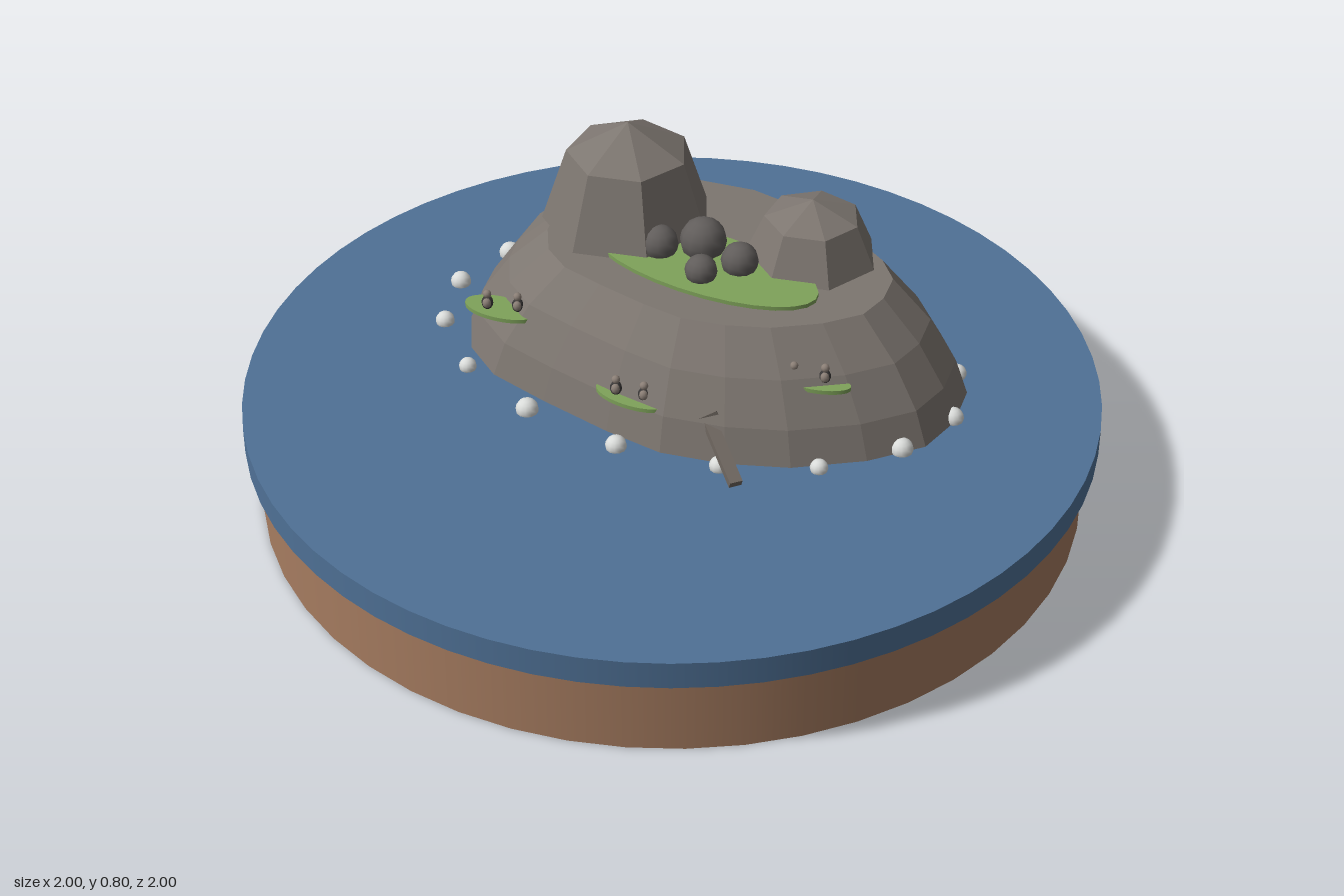
import * as THREE from 'three';

const mat = (name, color, flat = false) => {
  const m = new THREE.MeshStandardMaterial({ color, flatShading: flat });
  m.name = name;
  return m;
};

export function createModel() {
  const group = new THREE.Group();
  group.name = 'islandDiorama';
  const wood = mat('wood brown', 0xa67c60);
  const water = mat('water blue', 0x4f7196);
  const rock = mat('rock grey', 0x7d7670, true);
  const grass = mat('grass green', 0x7fa35a);
  const boulder = mat('boulder grey', 0x615d5b);
  const foam = mat('foam white', 0xdadcda);
  const dark = mat('bird dark', 0x3a3838);
  const pale = mat('bird taupe', 0x8b7f76);
  const plank = mat('plank grey', 0x6f6760);

  const add = (name, geo, material, x = 0, y = 0, z = 0, parent = group) => {
    const m = new THREE.Mesh(geo, material);
    m.name = name;
    m.position.set(x, y, z);
    parent.add(m);
    return m;
  };

  // Round stand and water disc
  add('woodenBase', new THREE.CylinderGeometry(0.97, 0.97, 0.2, 48), wood, 0, 0.1, 0);
  add('waterDisc', new THREE.CylinderGeometry(1, 1, 0.067, 64), water, 0, 0.2315, 0);

  // Island body: shoreline outline shrunk towards the plateau
  const shore = [
    [-0.51, -0.21], [-0.495, -0.31], [-0.455, -0.45], [-0.38, -0.545], [-0.26, -0.593], [-0.02, -0.583],
    [0.18, -0.535], [0.38, -0.417], [0.555, -0.257], [0.65, -0.13], [0.69, -0.02], [0.663, 0.1],
    [0.6, 0.2], [0.47, 0.267], [0.3, 0.31], [0.15, 0.31], [0, 0.283], [-0.13, 0.214],
    [-0.29, 0.112], [-0.42, 0.02], [-0.49, -0.085],
  ];
  const rings = [[0.26, 1], [0.35, 0.945], [0.45, 0.835], [0.542, 0.68]];
  const cx = 0.105, cz = -0.155;
  const point = (r, i) => {
    const [x, z] = shore[i % shore.length], [y, s] = rings[r];
    return [cx + (x - cx) * s, y, cz + (z - cz) * s];
  };
  const pos = [];
  const top = rings.length - 1;
  for (let i = 0; i < shore.length; i++) {
    for (let r = 0; r < top; r++) {
      const a = point(r, i), b = point(r, i + 1), c = point(r + 1, i), d = point(r + 1, i + 1);
      pos.push(...b, ...a, ...c, ...b, ...c, ...d);
    }
    pos.push(cx, rings[top][0], cz, ...point(top, i + 1), ...point(top, i));
  }
  const island = new THREE.BufferGeometry();
  island.setAttribute('position', new THREE.Float32BufferAttribute(pos, 3));
  island.computeVertexNormals();
  add('islandBody', island, rock);

  // Two faceted peaks
  const peak = (name, x, z, r, h) => {
    const m = add(name, new THREE.SphereGeometry(1, 7, 2, 0, Math.PI * 2, 0, Math.PI / 2), rock, x, 0.54, z);
    m.scale.set(r, h, r);
    m.rotation.y = -1.7;
  };
  peak('tallPeak', -0.13, -0.268, 0.205, 0.26);
  peak('lowPeak', 0.31, -0.15, 0.158, 0.15);

  // Grass patches: the plateau meadow and three side ledges
  const patch = (name, x, y, z, a, b, angle) => {
    const m = add(name, new THREE.CylinderGeometry(1, 1, 0.01, 28), grass, x, y, z);
    m.scale.set(a, 1, b);
    m.rotation.y = -angle;
  };
  patch('plateauMeadow', 0.07, 0.548, -0.07, 0.29, 0.12, 0.44);

  // Boulders on the meadow
  for (const [x, z, r] of [[0.06, -0.13, 0.055], [0.15, -0.06, 0.044], [0.065, -0.015, 0.038], [-0.04, -0.115, 0.044]]) {
    add('boulder', new THREE.SphereGeometry(r, 12, 8), boulder, x, 0.55 + r * 0.5, z);
  }

  // Ledges, each with a pair of small birds
  const bird = (x, y, z) => {
    const g = new THREE.Group();
    g.name = 'bird';
    g.position.set(x, y, z);
    group.add(g);
    add('birdBody', new THREE.SphereGeometry(0.014, 10, 8), dark, 0, 0.016, 0, g).scale.y = 1.25;
    add('birdBelly', new THREE.SphereGeometry(0.011, 10, 8), pale, 0, 0.018, 0.006, g).scale.y = 1.2;
    add('birdHead', new THREE.SphereGeometry(0.01, 10, 8), pale, 0, 0.039, 0, g);
  };
  const ledges = [
    [-0.405, 0.415, -0.035, 0.09, 0.043, 0.3, [[-0.435, -0.03], [-0.363, -0.025]]],
    [-0.073, 0.355, 0.197, 0.09, 0.04, 0.42, [[-0.108, 0.195], [-0.042, 0.213]]],
    [0.355, 0.428, 0.21, 0.07, 0.028, 0.1, [[0.295, 0.203], [0.365, 0.205]]],
  ];
  for (const [x, y, z, a, b, angle, birds] of ledges) {
    patch('grassLedge', x, y, z, a, b, angle);
    for (const [bx, bz] of birds) bird(bx, y + 0.005, bz);
  }

  // Pale stones along the waterline
  const stones = [
    [-0.28, -0.58], [-0.05, -0.593], [0.19, -0.535], [0.41, -0.422], [0.575, -0.262], [0.663, -0.085],
    [0.658, 0.09], [0.545, 0.22], [0.363, 0.31], [0.139, 0.325], [-0.1, 0.273], [-0.32, 0.155],
    [-0.483, 0], [-0.567, -0.182], [-0.556, -0.353], [-0.455, -0.492],
  ];
  stones.forEach(([x, z], i) => {
    const r = 0.021 + 0.006 * ((i * 5) % 4) / 3;
    add('shoreStone', new THREE.SphereGeometry(r, 12, 8), foam, x, 0.272, z);
  });

  // Landing ramp down to the water, with a short platform at its head
  const from = new THREE.Vector3(0.1, 0.355, 0.24), to = new THREE.Vector3(0.183, 0.28, 0.4);
  const mid = from.clone().add(to).multiplyScalar(0.5);
  add('landingRamp', new THREE.BoxGeometry(0.03, 0.018, from.distanceTo(to)), plank, mid.x, mid.y, mid.z).lookAt(to);
  add('rampHead', new THREE.BoxGeometry(0.06, 0.014, 0.03), plank, 0.105, 0.36, 0.255).rotation.z = 0.55;

  return group;
}
